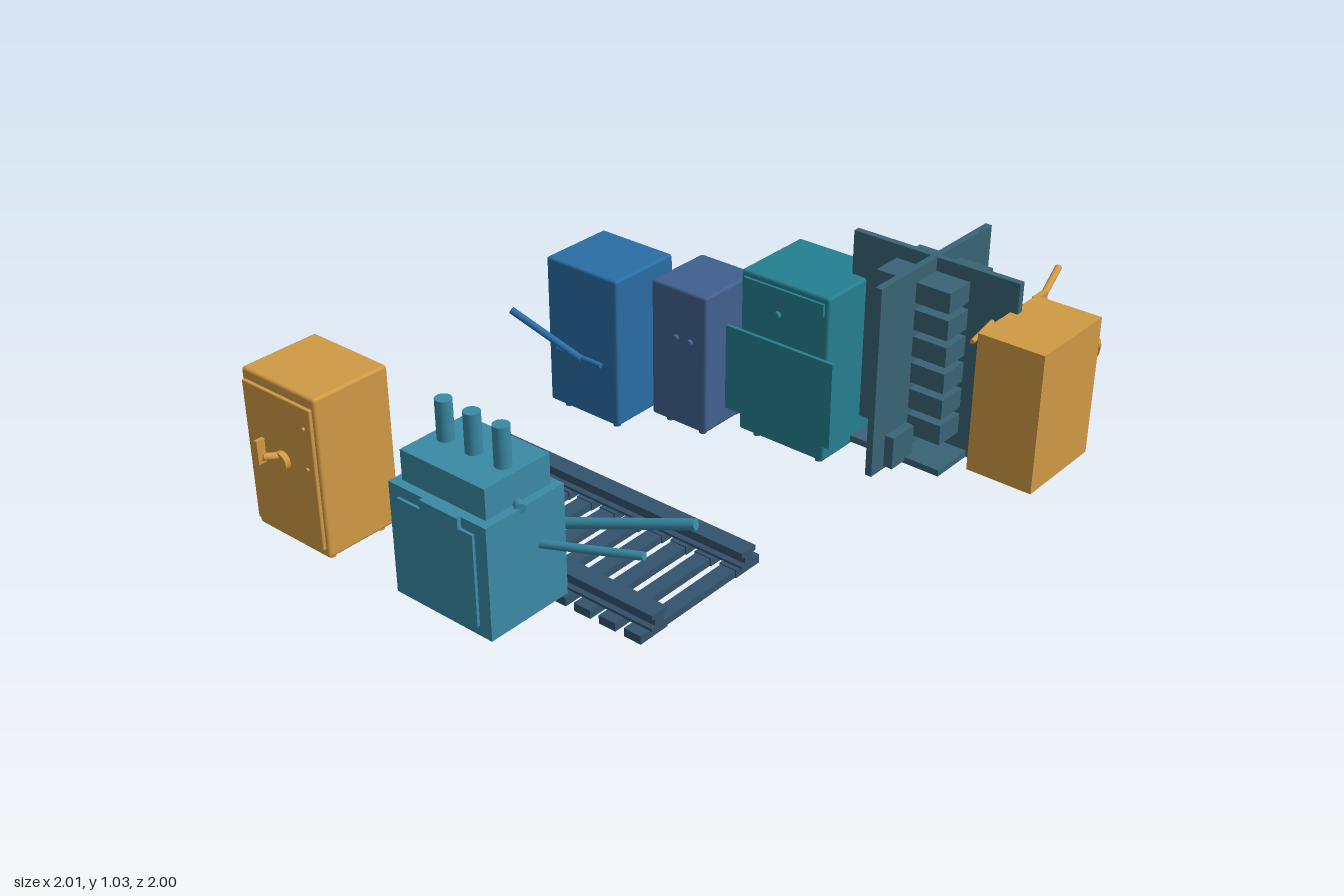
import * as THREE from 'three';
import { RoundedBoxGeometry } from 'three/addons/geometries/RoundedBoxGeometry.js';

const mat = (color) => new THREE.MeshStandardMaterial({ color });
const ORANGE = mat(0xd09a45), BLUE = mat(0x2a6ea5), INDIGO = mat(0x41608f), TEAL = mat(0x258090);
const SLATE = mat(0x3a6475), CYAN = mat(0x3a8aa5), NAVY = mat(0x34536e);

function add(parent, name, geometry, material) {
  const mesh = new THREE.Mesh(geometry, material);
  mesh.name = name;
  parent.add(mesh);
  return mesh;
}

// Box given by its ranges on x, y and z; r > 0 rounds the edges
function box(parent, name, m, [x0, x1], [y0, y1], [z0, z1], r = 0) {
  const s = [x1 - x0, y1 - y0, z1 - z0];
  const g = r ? new RoundedBoxGeometry(...s, 2, r) : new THREE.BoxGeometry(...s);
  const mesh = add(parent, name, g, m);
  mesh.position.set((x0 + x1) / 2, (y0 + y1) / 2, (z0 + z1) / 2);
  return mesh;
}

// Round bar between two points
function rod(parent, name, m, a, b, r, r2 = r) {
  const p = new THREE.Vector3(...a), q = new THREE.Vector3(...b);
  const d = q.clone().sub(p);
  const mesh = add(parent, name, new THREE.CylinderGeometry(r2, r, d.length(), 20), m);
  mesh.position.copy(p).add(q).multiplyScalar(0.5);
  mesh.quaternion.setFromUnitVectors(new THREE.Vector3(0, 1, 0), d.normalize());
  return mesh;
}

function group(root, name) {
  const g = new THREE.Group();
  g.name = name;
  root.add(g);
  return g;
}

// Cabinet on four feet with a door on the front (dir 1) or back (dir -1)
function cabinet(root, name, m, x, y, z, dir) {
  const g = group(root, name);
  box(g, 'body', m, x, y, z, 0.01);
  const face = dir > 0 ? z[1] : z[0];
  const outer = face + dir * 0.012;
  box(g, 'door', m, [x[0] + 0.012, x[1] - 0.012], [y[0] + 0.03, y[1] - 0.035],
    [Math.min(face, outer) - 0.002, Math.max(face, outer)], 0.004);
  for (const fx of [x[0] + 0.045, x[1] - 0.045])
    for (const fz of [z[0] + 0.045, z[1] - 0.045])
      rod(g, 'foot', m, [fx, y[0] - 0.028, fz], [fx, y[0] + 0.01, fz], 0.013);
  return g;
}

function knob(g, m, x, y, z, dir, r = 0.012, length = 0.015) {
  rod(g, 'knob', m, [x, y, z], [x, y, z + dir * length], r);
}

function buildTrack(root) {
  const g = group(root, 'track');
  for (let i = 0; i < 11; i++) {
    const x = -0.89 + i * 0.104;
    box(g, 'tie', NAVY, [x - 0.029, x + 0.029], [0, 0.027], [-0.19, 0.395]);
    for (const z of [[-0.19, -0.07], [0.27, 0.395]])
      box(g, 'tieEnd', NAVY, [x - 0.034, x + 0.034], [0, 0.031], z);
  }
  // I-shaped rails: half profile mirrored and extruded along x
  const half = [[0.035, 0.03], [0.035, 0.04], [0.02, 0.046], [0.02, 0.068], [0.035, 0.074], [0.035, 0.09]];
  const outline = [...half, ...half.map(([a, b]) => [-a, b]).reverse()];
  const shape = new THREE.Shape(outline.map(([a, b]) => new THREE.Vector2(a, b)));
  for (const z of [-0.12, 0.32]) {
    const rail = add(g, 'rail', new THREE.ExtrudeGeometry(shape, { depth: 1.13, bevelEnabled: false }), NAVY);
    rail.rotation.y = Math.PI / 2;
    rail.position.set(-0.935, 0, z);
  }
  box(g, 'sideBox', NAVY, [-0.425, -0.31], [0.065, 0.1], [0.375, 0.4]);
  box(g, 'sideBracket', NAVY, [-0.4, -0.335], [0.03, 0.1], [0.36, 0.395]);
  box(g, 'sideCap', NAVY, [-0.435, -0.3], [0.062, 0.075], [0.395, 0.42]);
}

function buildCabinets(root) {
  // Orange cabinet, door to the front with dial and upright handle
  const a = cabinet(root, 'orangeCabinet', ORANGE, [-0.96, -0.63], [0.22, 0.775], [0.61, 0.9], 1);
  knob(a, ORANGE, -0.785, 0.52, 0.91, 1, 0.032, 0.022);
  rod(a, 'handleStem', ORANGE, [-0.795, 0.53, 0.91], [-0.795, 0.56, 0.985], 0.012);
  box(a, 'handle', ORANGE, [-0.803, -0.79], [0.54, 0.62], [0.97, 1.0]);
  knob(a, ORANGE, -0.672, 0.67, 0.905, 1, 0.006);
  knob(a, ORANGE, -0.672, 0.53, 0.905, 1, 0.006);
  knob(a, ORANGE, -0.795, 0.52, 0.615, -1, 0.01);

  // Blue cabinet, door to the back, loose bars at the front
  const b = cabinet(root, 'blueCabinet', BLUE, [-0.905, -0.585], [0.14, 0.7], [-0.665, -0.37], -1);
  rod(b, 'slantedBar', BLUE, [-1.0, 0.495, -0.285], [-0.73, 0.37, -0.345], 0.013);
  rod(b, 'levelBar', BLUE, [-0.85, 0.37, -0.352], [-0.645, 0.37, -0.352], 0.01);
  knob(b, BLUE, -0.78, 0.42, -0.675, -1, 0.014, 0.012);
  box(b, 'handle', BLUE, [-0.79, -0.71], [0.49, 0.502], [-0.684, -0.675]);
  box(b, 'handleDrop', BLUE, [-0.79, -0.778], [0.45, 0.502], [-0.684, -0.675]);

  // Indigo cabinet, two knobs in front
  const c = cabinet(root, 'indigoCabinet', INDIGO, [-0.47, -0.235], [0.22, 0.73], [-0.685, -0.42], -1);
  for (const x of [-0.36, -0.3]) knob(c, INDIGO, x, 0.55, -0.422, 1, 0.011);
  rod(c, 'handleStem', INDIGO, [-0.42, 0.48, -0.69], [-0.425, 0.48, -0.72], 0.011);
  box(c, 'handle', INDIGO, [-0.4, -0.32], [0.58, 0.592], [-0.708, -0.695]);
  knob(c, INDIGO, -0.3, 0.42, -0.692, -1, 0.01, 0.01);

  // Teal cabinet, loose panel in front
  const d = cabinet(root, 'tealCabinet', TEAL, [-0.09, 0.255], [0.3, 0.885], [-0.73, -0.42], -1);
  box(d, 'frontPanel', TEAL, [-0.13, 0.295], [0.375, 0.68], [-0.408, -0.395]);
  box(d, 'topLip', TEAL, [-0.075, 0.24], [0.82, 0.865], [-0.425, -0.41]);
  knob(d, TEAL, 0.06, 0.77, -0.422, 1, 0.012);
  knob(d, TEAL, 0.14, 0.62, -0.738, -1, 0.012);
}

// Crossed upright sheets with a stack of shelves round the middle
function buildRack(root) {
  const g = group(root, 'crossRack');
  box(g, 'wideSheet', SLATE, [0.2, 0.8], [0.39, 1.035], [-0.64, -0.617]);
  box(g, 'deepSheet', SLATE, [0.485, 0.508], [0.39, 1.035], [-0.925, -0.325]);
  box(g, 'base', SLATE, [0.33, 0.665], [0.39, 0.412], [-0.795, -0.46]);
  for (let i = 0; i < 6; i++) {
    const y = 0.5 + i * 0.091;
    box(g, 'shelf', SLATE, [0.362, 0.63], [y - 0.034, y + 0.034], [-0.745, -0.51]);
  }
  box(g, 'frontBlock', SLATE, [0.45, 0.54], [0.4, 0.51], [-0.5, -0.39]);
}

// Orange box with tilted wheels and levers
function buildWheelBox(root) {
  const g = group(root, 'wheelBox');
  box(g, 'body', ORANGE, [0.775, 1.0], [0.47, 0.935], [-0.765, -0.44]);
  for (const [x, y] of [[0.93, 0.805], [0.84, 0.62]]) {
    const n = [-0.34, 0, -0.94];
    const at = (t) => [x + n[0] * t, y, -0.795 + n[2] * t];
    rod(g, 'wheel', ORANGE, at(-0.013), at(0.013), 0.057);
    rod(g, 'wheelHub', ORANGE, at(0.01), at(0.04), 0.015);
    rod(g, 'axle', ORANGE, at(-0.04), at(0), 0.012);
  }
  rod(g, 'longLever', ORANGE, [0.78, 0.887, -0.76], [0.715, 0.925, -1.0], 0.011);
  box(g, 'leverMount', ORANGE, [0.77, 0.79], [0.86, 0.935], [-0.81, -0.75]);
  rod(g, 'shortLever', ORANGE, [0.713, 0.89, -0.67], [0.728, 0.87, -0.49], 0.008);
}

// Stepped machine with three stacks and long side bars
function buildMachine(root) {
  const g = group(root, 'machine');
  box(g, 'body', CYAN, [-0.26, 0.125], [0.3, 0.675], [0.645, 0.955]);
  box(g, 'upperBody', CYAN, [-0.235, 0.097], [0.675, 0.775], [0.67, 0.925]);
  for (const x of [-0.18, -0.068, 0.045])
    rod(g, 'stack', CYAN, [x, 0.77, 0.8], [x, 0.905, 0.8], 0.026);
  box(g, 'frontPanel', CYAN, [-0.22, 0.08], [0.335, 0.64], [0.95, 0.965]);
  box(g, 'panelTop', CYAN, [-0.12, 0.03], [0.64, 0.677], [0.95, 0.97]);
  rod(g, 'longBar', CYAN, [0.09, 0.515, 0.62], [0.49, 0.62, 0.505], 0.017);
  rod(g, 'shortBar', CYAN, [0.12, 0.52, 0.745], [0.44, 0.575, 0.665], 0.013);
  rod(g, 'backSpout', CYAN, [-0.15, 0.5, 0.66], [-0.22, 0.48, 0.615], 0.02);
  rod(g, 'sideHandle', CYAN, [0.1, 0.675, 0.805], [0.125, 0.675, 0.82], 0.016);
}

export function createModel() {
  const root = new THREE.Group();
  root.name = 'yardEquipment';
  buildTrack(root);
  buildCabinets(root);
  buildRack(root);
  buildWheelBox(root);
  buildMachine(root);
  return root;
}
